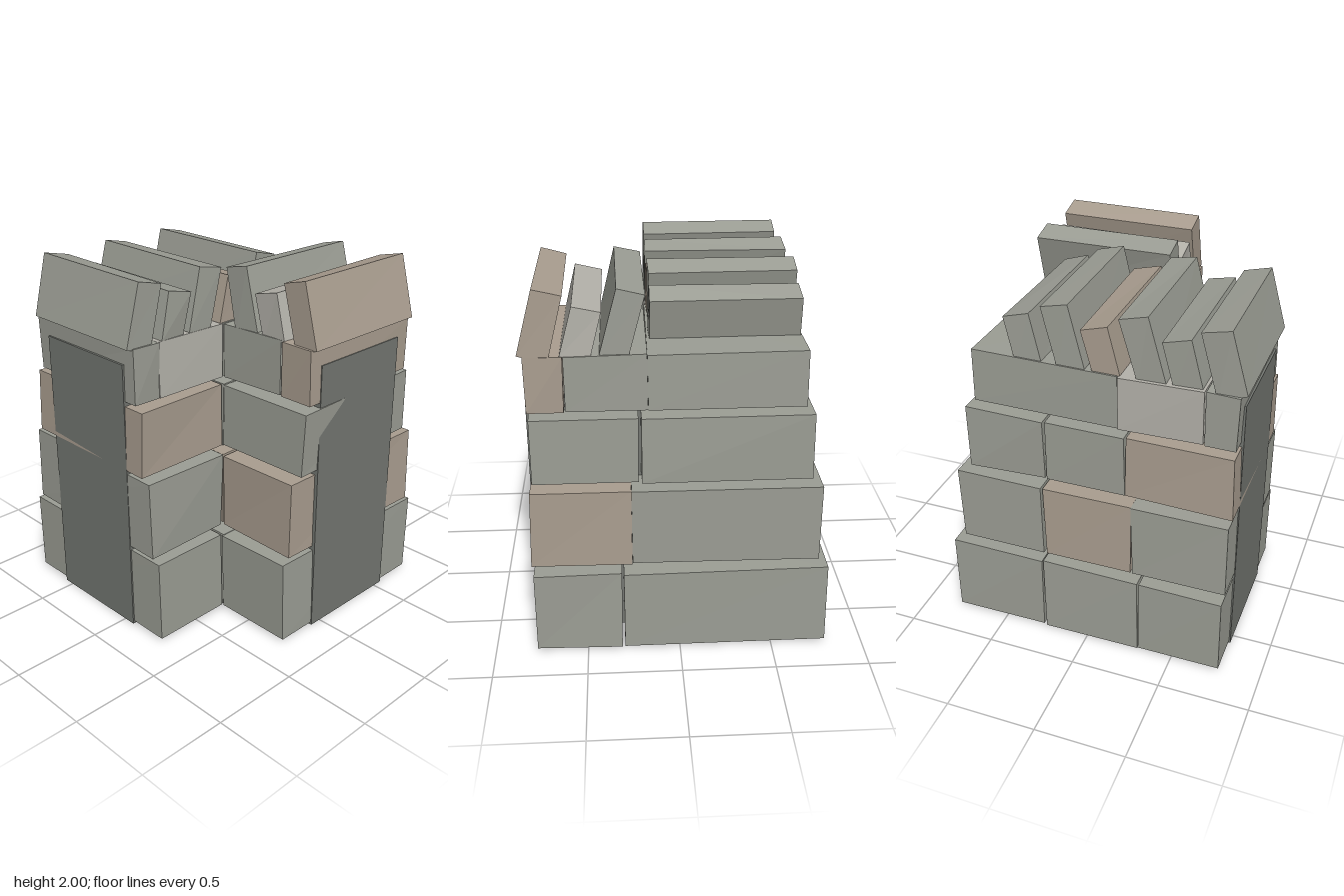
import * as THREE from 'three';

const mat = (color) => new THREE.MeshStandardMaterial({ color, flatShading: true });

export function createModel() {
  const model = new THREE.Group();
  const grey = mat(0x9c9e95), brown = mat(0xaa9e90), light = mat(0xb5b3ab), dark = mat(0x747772);

  // seeded jitter for hand-cut stone
  let seed = 7;
  const rnd = () => (seed = (seed * 16807) % 2147483647) / 2147483647 - 0.5;

  // box between two corners; every corner is nudged a little.
  // frontPush(sx, sy) optionally tilts the +z face.
  function stone(name, x0, x1, y0, y1, z0, z1, material, jitter = 0.012, frontPush) {
    const g = new THREE.BoxGeometry(x1 - x0, y1 - y0, z1 - z0);
    const p = g.attributes.position;
    const moved = {};
    for (let i = 0; i < p.count; i++) {
      const sx = Math.sign(p.getX(i)), sy = Math.sign(p.getY(i)), sz = Math.sign(p.getZ(i));
      const d = (moved[`${sx},${sy},${sz}`] ??= [rnd() * jitter, rnd() * jitter, rnd() * jitter]);
      const dz = frontPush && sz > 0 ? frontPush(sx, sy) : d[2];
      p.setXYZ(i, p.getX(i) + d[0], p.getY(i) + d[1], p.getZ(i) + dz);
    }
    g.computeVertexNormals();
    const m = new THREE.Mesh(g, material);
    m.name = name;
    m.position.set((x0 + x1) / 2, (y0 + y1) / 2, (z0 + z1) / 2);
    model.add(m);
    return m;
  }

  // L-shaped mortar core
  const plan = [[-0.78, 0.56], [-0.78, -0.07], [-0.07, -0.07], [-0.07, -0.78], [0.56, -0.78], [0.56, 0.56]];
  const shape = new THREE.Shape(plan.map(([x, y]) => new THREE.Vector2(x, y)));
  const coreGeo = new THREE.ExtrudeGeometry(shape, { depth: 1.56, bevelEnabled: false });
  coreGeo.rotateX(-Math.PI / 2);
  const core = new THREE.Mesh(coreGeo, dark);
  core.name = 'mortarCore';
  model.add(core);

  // three lower courses: o = outer reach, i = inner corner
  const courses = [
    { y0: 0.02, y1: 0.48, o: 0.795, i: 0.305, end: grey, middle: grey, front: grey },
    { y0: 0.51, y1: 0.94, o: 0.745, i: 0.25, end: grey, middle: brown, front: brown,
      push: (sx, sy) => (sx > 0 && sy < 0 ? 0.015 : sx > 0 ? 0.002 : -0.012) },
    { y0: 0.97, y1: 1.33, o: 0.693, i: 0.2, end: brown, middle: grey, front: grey,
      push: (sx, sy) => (sx < 0 ? (sy > 0 ? 0.022 : 0.006) : -0.01) },
  ];
  const gap = 0.005;
  courses.forEach(({ y0, y1, o, i, end, middle, front, push }) => {
    stone('endStone', -0.775, -i - gap, y0, y1, -o, i, end);
    stone('middleStone', -i + gap, 0.245, y0, y1, -o, i, middle);
    stone('cornerStone', 0.255, o, y0, y1, -o, i - gap, grey);
    stone('frontStone', -i, o, y0, y1, i + gap, 0.77, front, 0.012, push);
  });

  // top course
  const [t0, t1] = [1.355, 1.655];
  stone('topCornerStone', -0.15, 0.655, t0, t1, -0.655, 0.155, grey);
  stone('topMiddleStone', -0.6, -0.155, t0, t1, -0.655, 0.15, light);
  stone('topEndStone', -0.77, -0.605, t0, t1, -0.655, 0.15, grey);
  stone('topInnerFrontStone', -0.15, 0.65, t0, t1, 0.16, 0.57, grey);
  stone('topFrontStone', -0.155, 0.65, t0, t1, 0.58, 0.775, brown);

  // leaning coping slabs, given by their upper outer edge
  const lean = 0.25, thick = 0.15;
  const offset = (h) => [
    Math.cos(lean) * thick / 2 - Math.sin(lean) * h / 2,
    -Math.sin(lean) * thick / 2 - Math.cos(lean) * h / 2,
  ];
  const slabHeight = (tall) => (tall ? 0.35 : 0.26);
  const slabTop = (tall) => (tall ? 1.995 : 1.905);

  // row running along x
  [-0.71, -0.515, -0.305, -0.1, 0.115, 0.32].forEach((x, k) => {
    const tall = k % 2 === 0, h = slabHeight(tall), [a, b] = offset(h);
    const m = stone('copingSlab', -thick / 2, thick / 2, -h / 2, h / 2, -0.64, 0.14, k === 3 ? brown : grey);
    m.position.set(x + a, slabTop(tall) + b, -0.25);
    m.rotation.z = -lean;
  });

  // row running along z
  [[0.715, brown], [0.525, light], [0.31, grey]].forEach(([z, material], k) => {
    const tall = k % 2 === 0, h = slabHeight(tall), [a, b] = offset(h);
    const m = stone('copingSlabFront', -0.143, 0.64, -h / 2, h / 2, -thick / 2, thick / 2, material);
    m.position.set(0.25, slabTop(tall) + b, z - a);
    m.rotation.x = -lean;
  });

  return model;
}
